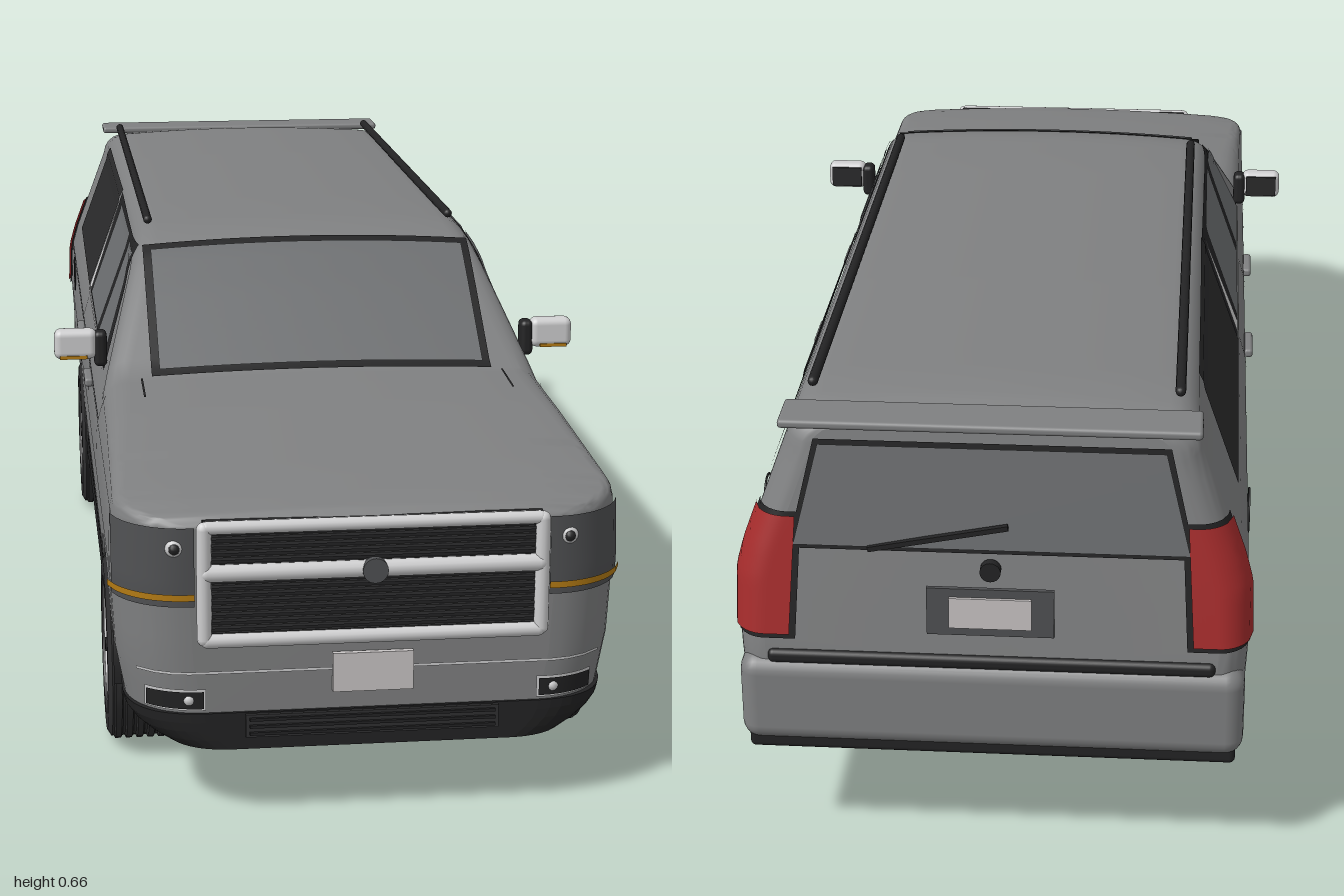
import * as THREE from 'three';
import { mergeVertices, toCreasedNormals } from 'three/addons/utils/BufferGeometryUtils.js';
import { RoundedBoxGeometry } from 'three/addons/geometries/RoundedBoxGeometry.js';

const mat = (name, color) => {
  const m = new THREE.MeshStandardMaterial({ color, side: THREE.DoubleSide });
  m.name = name;
  return m;
};
const paint = mat('grey paint', 0x7f8081), glass = mat('grey glass', 0x6c6e70), black = mat('black trim', 0x232324);
const tint = mat('dark glass', 0x2a2a2b), chrome = mat('chrome', 0xcfcfd0), red = mat('red lens', 0xa62c2c);
const amber = mat('amber lens', 0xb57c14), lamp = mat('smoked lens', 0x505153), rubber = mat('tyre rubber', 0x303031);
const plateMat = mat('plate', 0xc9c5c5);

const lin = (p, t) => {
  if (t <= p[0][0]) return p[0][1];
  for (let i = 1; i < p.length; i++) if (t <= p[i][0]) {
    const [a, b] = [p[i - 1], p[i]];
    return a[1] + (b[1] - a[1]) * (t - a[0]) / (b[0] - a[0]);
  }
  return p[p.length - 1][1];
};

// Body shape rules: roof line along z, half width by height, rounded plan corners
const ROOF = [[-0.985, 0.622], [-0.93, 0.638], [-0.85, 0.646], [-0.5, 0.65], [0, 0.651], [0.13, 0.647], [0.19, 0.637], [0.23, 0.617],
  [0.3, 0.568], [0.43, 0.472], [0.5, 0.468], [0.6, 0.462], [0.85, 0.437], [0.92, 0.428], [0.96, 0.42], [0.975, 0.41]];
const WIDTH = [[0.15, 0.325], [0.22, 0.338], [0.33, 0.344], [0.41, 0.341], [0.45, 0.33], [0.62, 0.268], [0.66, 0.25]];
const AXLES = [0.655, -0.495], ARCH = 0.16, HUB = 0.135;
const FRONT = 0.975, BACK = -0.985;
const corner = u => 1 - Math.sqrt(Math.max(0, 1 - u * u));
const inset = z => z > 0.87 ? 0.1 * corner((z - 0.87) / 0.105) : z < -0.93 ? 0.04 * corner((-0.93 - z) / 0.055) : 0;
const half = (y, z) => lin(WIDTH, y) - inset(z);
const round = z => lin([[0.5, 0.035], [0.9, 0.014]], z);
const lean = (y, z) => z < -0.8 ? z + 0.055 * Math.min(1, Math.max(0, (y - 0.3) / 0.35)) * (-0.8 - z) / 0.185 : z;
const bottom = z => {
  let b = z > 0.7 ? 0.15 : 0.17;
  for (const a of AXLES) if (Math.abs(z - a) < ARCH) b = Math.max(b, HUB + Math.sqrt(ARCH * ARCH - (z - a) ** 2));
  return b;
};

function surface(points, rows, cols) {
  const idx = [];
  for (let i = 0; i < rows; i++) for (let j = 0; j < cols; j++) {
    const a = i * (cols + 1) + j, b = a + cols + 1;
    idx.push(a, b, a + 1, b, b + 1, a + 1);
  }
  const g = new THREE.BufferGeometry();
  g.setAttribute('position', new THREE.Float32BufferAttribute(points, 3));
  g.setIndex(idx);
  return g;
}

function bodyGeometry() {
  const levels = [0.15, 0.185, 0.22, 0.26, 0.3, 0.33, 0.37, 0.41, 0.43, 0.45, 0.5, 0.56, 0.7];
  const zs = new Set(ROOF.map(p => p[0]));
  for (let i = 0; i <= 10; i++) {
    zs.add(0.87 + 0.105 * Math.sin(i * Math.PI / 20));
    zs.add(-0.93 - 0.055 * Math.sin(i * Math.PI / 20));
  }
  for (let z = -0.9; z < 0.87; z += 0.05) zs.add(z);
  for (const a of AXLES) for (let i = 0; i <= 28; i++) zs.add(a - ARCH * Math.cos(i * Math.PI / 28));
  const list = [...zs].sort((a, b) => a - b), pts = [];
  let n = 0;
  for (const z of list) {
    const yt = lin(ROOF, z), r = round(z), ys = yt - r, s = [];
    for (const l of levels) { const y = Math.min(Math.max(l, bottom(z)), ys); s.push([half(y, z), y]); }
    const xs = half(ys, z), xt = xs - 1.2 * r;
    for (let i = 1; i <= 5; i++) { const a = i * Math.PI / 10; s.push([xs - 1.2 * r * (1 - Math.cos(a)), ys + r * Math.sin(a)]); }
    for (const f of [0.75, 0.5, 0.25, 0]) s.push([xt * f, yt + 0.008 * (1 - f * f)]);
    const full = [...s, ...s.slice(0, -1).reverse().map(([x, y]) => [-x, y])];
    n = full.length;
    for (const [x, y] of full) pts.push(x, y, lean(y, z));
  }
  const g = surface(pts, list.length - 1, n - 1), idx = [...g.index.array];
  // end caps
  for (const [row, z] of [[0, BACK], [list.length - 1, FRONT]]) {
    const c = pts.length / 3;
    pts.push(0, 0.3, z);
    for (let j = 0; j < n; j++) {
      const a = row * n + j, b = row * n + (j + 1) % n;
      idx.push(...(row ? [c, a, b] : [c, b, a]));
    }
  }
  g.setAttribute('position', new THREE.Float32BufferAttribute(pts, 3));
  g.setIndex(idx);
  return toCreasedNormals(mergeVertices(g, 1e-5), 0.6);
}

// Points lying just outside each face of the body
const onSide = (o = 0.003) => (z, y) => {
  const r = round(z), ys = lin(ROOF, z) - r;
  const x = y <= ys ? half(y, z) : half(ys, z) - 1.2 * r * corner(Math.min(1, (y - ys) / r));
  return [x + o, y, lean(y, z)];
};
const onFront = (o = 0.004) => (x, y) => {
  const c = lin(WIDTH, y) - 0.1, k = Math.min(1, Math.max(0, (x - c) / 0.1));
  return [x + o * k, y, 0.87 + 0.105 * Math.sqrt(1 - k * k) + o];
};
const onRear = (o = 0.004) => (x, y) => {
  const w = lin(WIDTH, y), c = w - 0.04, px = Math.min(x, w), k = Math.max(0, (px - c) / 0.04);
  return [px + o * k, y, lean(y, -0.93 - 0.055 * Math.sqrt(1 - k * k)) - o];
};
const onTop = (o = 0.004) => (x, z) => {
  const xt = half(lin(ROOF, z) - round(z), z) - 1.2 * round(z);
  return [x, lin(ROOF, z) + 0.008 * (1 - (x / xt) ** 2) + o, z + o * 0.6];
};

export function createModel() {
  const car = new THREE.Group();
  const add = (name, g, m, x = 0, y = 0, z = 0, parent = car) => {
    const mesh = new THREE.Mesh(g, m);
    mesh.name = name;
    mesh.position.set(x, y, z);
    parent.add(mesh);
    return mesh;
  };
  const box = (name, m, w, h, d, x, y, z, p) => add(name, new THREE.BoxGeometry(w, h, d), m, x, y, z, p);
  const rbox = (name, m, w, h, d, x, y, z, r = 0.008) => add(name, new RoundedBoxGeometry(w, h, d, 3, r), m, x, y, z);
  // four corners (a, b, c, d in order) draped over a body face
  const patch = (name, m, q, fn, mirror = 1) => {
    const pts = [], N = 14;
    for (let i = 0; i <= N; i++) for (let j = 0; j <= N; j++) {
      const u = i / N, v = j / N;
      const f = k => (q[0][k] * (1 - u) + q[1][k] * u) * (1 - v) + (q[3][k] * (1 - u) + q[2][k] * u) * v;
      const [x, y, z] = fn(f(0), f(1));
      pts.push(x * mirror, y, z);
    }
    const g = surface(pts, N, N);
    g.computeVertexNormals();
    return add(name, g, m);
  };
  const rect = (a, b, c, d) => [[a, c], [b, c], [b, d], [a, d]];
  const bar = (name, m, r, len, x, y, z, axis) => {
    const b = add(name, new THREE.CapsuleGeometry(r, len, 4, 12), m, x, y, z);
    if (axis === 'x') b.rotation.z = Math.PI / 2;
    if (axis === 'z') b.rotation.x = Math.PI / 2;
    return b;
  };

  add('bodyShell', bodyGeometry(), paint);

  // Windscreen, rear window and tailgate
  patch('windscreenSeal', black, rect(-0.258, 0.258, 0.436, 0.205), onTop(0.003));
  patch('windscreen', glass, rect(-0.246, 0.246, 0.425, 0.222), onTop(0.007));
  patch('rearWindowSeal', black, [[-0.27, 0.455], [0.27, 0.455], [0.235, 0.605], [-0.235, 0.605]], onRear(0.002));
  patch('rearWindow', glass, [[-0.263, 0.461], [0.263, 0.461], [0.229, 0.599], [-0.229, 0.599]], onRear(0.005));
  const wiper = box('rearWiper', black, 0.19, 0.007, 0.008, 0.07, 0.478, -0.966);
  wiper.rotation.z = -0.2;
  add('tailgateKnob', new THREE.CylinderGeometry(0.014, 0.014, 0.012, 20).rotateX(Math.PI / 2), black, 0, 0.435, -0.972);
  box('rearPlateRecess', lamp, 0.17, 0.07, 0.006, 0, 0.376, -0.978);
  box('rearPlate', plateMat, 0.11, 0.045, 0.008, 0, 0.376, -0.981);
  rbox('spoiler', paint, 0.55, 0.012, 0.07, 0, 0.642, -0.942, 0.005);
  rbox('rearBumper', paint, 0.68, 0.13, 0.09, 0, 0.235, -0.951, 0.025);
  rbox('rearStepPad', black, 0.6, 0.02, 0.05, 0, 0.302, -0.966);
  rbox('rearValance', black, 0.66, 0.03, 0.33, 0, 0.172, -0.822);

  // Front lip, tapering downwards
  const plan = new THREE.Shape();
  plan.moveTo(-0.328, 0.82).lineTo(0.328, 0.82).lineTo(0.328, 0.88).quadraticCurveTo(0.32, 0.975, 0.225, 0.979)
    .lineTo(-0.225, 0.979).quadraticCurveTo(-0.32, 0.975, -0.328, 0.88);
  const lip = new THREE.ExtrudeGeometry(plan, { depth: 0.052, steps: 4, bevelEnabled: false, curveSegments: 10 }).rotateX(Math.PI / 2);
  const lp = lip.attributes.position;
  for (let i = 0; i < lp.count; i++) lp.setX(i, lp.getX(i) * (1 - 0.15 * (lp.getY(i) / 0.052) ** 2));
  lip.computeVertexNormals();
  add('frontLip', lip, black, 0, 0.152, 0);
  box('lowerIntake', rubber, 0.34, 0.032, 0.008, 0, 0.134, 0.98);
  for (let i = 0; i < 3; i++) box('intakeSlat', black, 0.33, 0.004, 0.006, 0, 0.124 + i * 0.01, 0.985);

  // Grille
  box('grilleBacking', black, 0.45, 0.165, 0.012, 0, 0.336, 0.976);
  for (let i = 0; i < 16; i++) if (i !== 9) box('grilleSlat', rubber, 0.44, 0.004, 0.006, 0, 0.266 + i * 0.0094, 0.984);
  for (const [y, r] of [[0.412, 0.009], [0.35, 0.012], [0.257, 0.01]]) bar('grilleBar', chrome, r, 0.44, 0, y, 0.986, 'x');
  for (const s of [-1, 1]) bar('grilleSideBar', chrome, 0.01, 0.15, s * 0.224, 0.335, 0.986);
  add('grilleDisc', new THREE.CylinderGeometry(0.017, 0.017, 0.01, 24).rotateX(Math.PI / 2), lamp, 0, 0.35, 0.995);
  box('frontPlate', plateMat, 0.108, 0.054, 0.008, 0, 0.205, 0.981);

  // Floor and chassis
  box('floor', black, 0.4, 0.012, 1.78, 0, 0.18, -0.03);
  box('middleFloor', black, 0.65, 0.012, 0.83, 0, 0.178, 0.08);
  box('rearFloor', black, 0.65, 0.012, 0.3, 0, 0.178, -0.81);
  box('frontFloor', black, 0.62, 0.012, 0.11, 0, 0.158, 0.87);
  for (const z of [0.72, 0.45, 0.2, -0.05, -0.3, -0.65]) box('crossMember', rubber, 0.34, 0.026, 0.035, 0, 0.15, z);
  box('fuelTank', rubber, 0.2, 0.05, 0.2, 0.06, 0.138, -0.12);
  for (const z of AXLES) bar('axle', rubber, 0.016, 0.48, 0, HUB, z, 'x');

  // Wheel parts, built facing +x
  const tyreProfile = [[0.09, -0.045], [0.122, -0.046], [0.132, -0.04]];
  for (let i = 0; i < 5; i++) {
    const a = -0.036 + i * 0.0155;
    tyreProfile.push([0.131, a - 0.001], [0.135, a + 0.001], [0.135, a + 0.009], [0.131, a + 0.011]);
  }
  tyreProfile.push([0.132, 0.04], [0.122, 0.046], [0.1, 0.046], [0.096, 0.038]);
  const turned = p => toCreasedNormals(new THREE.LatheGeometry(p.map(a => new THREE.Vector2(...a)), 48).rotateZ(-Math.PI / 2), 0.6);
  const tyre = turned(tyreProfile);
  const rim = turned([[0.09, -0.044], [0.086, -0.01], [0.088, 0.036], [0.094, 0.043], [0.1, 0.043]]);
  const dish = turned([[0.001, 0.008], [0.09, 0.008]]);
  const innerDish = turned([[0.001, -0.02], [0.055, -0.02], [0.09, -0.036]]);
  const hub = turned([[0.001, 0.042], [0.014, 0.042], [0.022, 0.036], [0.024, 0.01]]);

  for (const s of [-1, 1]) {
    for (const z of AXLES) {
      const wheel = new THREE.Group();
      wheel.name = 'wheel';
      wheel.position.set(s * 0.298, HUB, z);
      if (s < 0) wheel.rotation.y = Math.PI;
      car.add(wheel);
      add('tyre', tyre, rubber, 0, 0, 0, wheel);
      add('rim', rim, chrome, 0, 0, 0, wheel);
      add('brakeDisc', dish, black, 0, 0, 0, wheel);
      add('innerRim', innerDish, chrome, 0, 0, 0, wheel);
      add('hub', hub, chrome, 0, 0, 0, wheel);
      add('hubCap', new THREE.CylinderGeometry(0.01, 0.01, 0.004, 20).rotateZ(Math.PI / 2), black, 0.043, 0, 0, wheel);
      for (let i = 0; i < 12; i++) {
        const spoke = new THREE.BoxGeometry(0.014, 0.074, 0.01).translate(0.03, 0.055, 0);
        const a = Math.floor(i / 2) * Math.PI / 3 + (i % 2 ? 0.16 : -0.16);
        add('spoke', spoke, chrome, 0, 0, 0, wheel).rotation.x = a;
      }
      // arch lining
      const liner = new THREE.CylinderGeometry(ARCH, ARCH, 0.138, 32, 1, true, -Math.PI / 2, Math.PI).rotateZ(Math.PI / 2);
      liner.rotateX(0);
      const lin3 = new THREE.CylinderGeometry(ARCH, ARCH, 0.138, 48, 1, true, 0, Math.PI).rotateX(Math.PI / 2).rotateY(Math.PI / 2).rotateX(0);
      const p = lin3.attributes.position;
      for (let i = 0; i <= 48; i++) for (let k = 0; k < 2; k++) {
        const a = i * Math.PI / 48;
        p.setXYZ(k * 49 + i, k ? 0.069 : -0.069, ARCH * Math.sin(a), ARCH * Math.cos(a));
      }
      lin3.computeVertexNormals();
      add('archLining', lin3, black, s * 0.268, HUB, z);
      add('archInnerWall', new THREE.CircleGeometry(ARCH, 32, 0, Math.PI).rotateY(Math.PI / 2), black, s * 0.2, HUB, z);
    }

    // Side glass, pillars and seams
    const side = (name, m, q, o) => patch(name, m, q, onSide(o), s);
    side('windowSurround', black, [[0.345, 0.464], [-0.262, 0.464], [-0.262, 0.632], [0.19, 0.628]], 0.002);
    side('frontWindow', glass, [[0.315, 0.472], [0.118, 0.472], [0.118, 0.625], [0.2, 0.618]], 0.005);
    side('middleWindow', glass, rect(0.092, -0.187, 0.472, 0.627), 0.005);
    side('pillarTrim', chrome, [[-0.205, 0.472], [-0.25, 0.472], [-0.246, 0.62], [-0.236, 0.62]], 0.005);
    side('rearSideWindow', tint, [[-0.262, 0.466], [-0.77, 0.472], [-0.758, 0.632], [-0.262, 0.636]], 0.004);
    side('windowSill', chrome, rect(0.33, -0.26, 0.462, 0.466), 0.004);
    side('waistLine', lamp, rect(0.46, -0.9, 0.418, 0.421), 0.002);
    for (const z of [0.465, 0.105, -0.225]) side('doorSeam', black, rect(z, z - 0.004, 0.19, 0.455), 0.002);
    for (const z of [0.18, -0.16]) rbox('doorHandle', paint, 0.014, 0.014, 0.075, s * 0.346, 0.412, z, 0.005);
    add('fuelFlap', new THREE.TorusGeometry(0.031, 0.0016, 6, 32).rotateY(Math.PI / 2), black, s * 0.343, 0.395, -0.7);
    rbox('sill', black, 0.05, 0.058, 0.85, s * 0.31, 0.151, 0.08, 0.012);
    bar('roofRail', black, 0.007, 0.98, s * 0.244, 0.654, -0.375, 'z');
    box('chassisRail', rubber, 0.03, 0.035, 1.55, s * 0.165, 0.152, 0);
    patch('bonnetSeam', black, rect(s * 0.272, s * 0.275, 0.44, 0.53), onTop(0.002));

    // Lamps
    patch('headlamp', lamp, rect(0.236, 0.338, 0.302, 0.41), onFront(0.004), s);
    patch('indicator', amber, rect(0.236, 0.34, 0.311, 0.32), onFront(0.007), s);
    patch('fogLampSurround', chrome, rect(0.222, 0.3, 0.156, 0.186), onFront(0.002), s);
    patch('fogLampRecess', black, rect(0.225, 0.297, 0.159, 0.183), onFront(0.004), s);
    add('headlampBulb', new THREE.SphereGeometry(0.015, 16, 12), chrome, s * 0.261, 0.382, 0.967);
    add('headlampLens', new THREE.SphereGeometry(0.008, 12, 8), black, s * 0.262, 0.382, 0.977);
    add('fogLamp', new THREE.SphereGeometry(0.009, 12, 8), chrome, s * 0.244, 0.171, 0.972);
    patch('bumperLine', chrome, rect(0, 0.31, 0.207, 0.211), onFront(0.003), s);
    patch('tailLampSurround', black, [[0.262, 0.328], [0.35, 0.328], [0.35, 0.505], [0.252, 0.505]], onRear(0.003), s);
    patch('tailLamp', red, [[0.27, 0.335], [0.35, 0.335], [0.35, 0.5], [0.26, 0.5]], onRear(0.006), s);

    // Door mirror
    rbox('mirrorArm', black, 0.02, 0.055, 0.03, s * 0.331, 0.498, 0.335);
    rbox('mirrorHousing', chrome, 0.065, 0.046, 0.03, s * 0.369, 0.506, 0.337, 0.011);
    box('mirrorGlass', tint, 0.052, 0.034, 0.004, s * 0.369, 0.506, 0.321);
    box('mirrorIndicator', amber, 0.042, 0.005, 0.006, s * 0.372, 0.487, 0.35);
  }
  return car;
}
